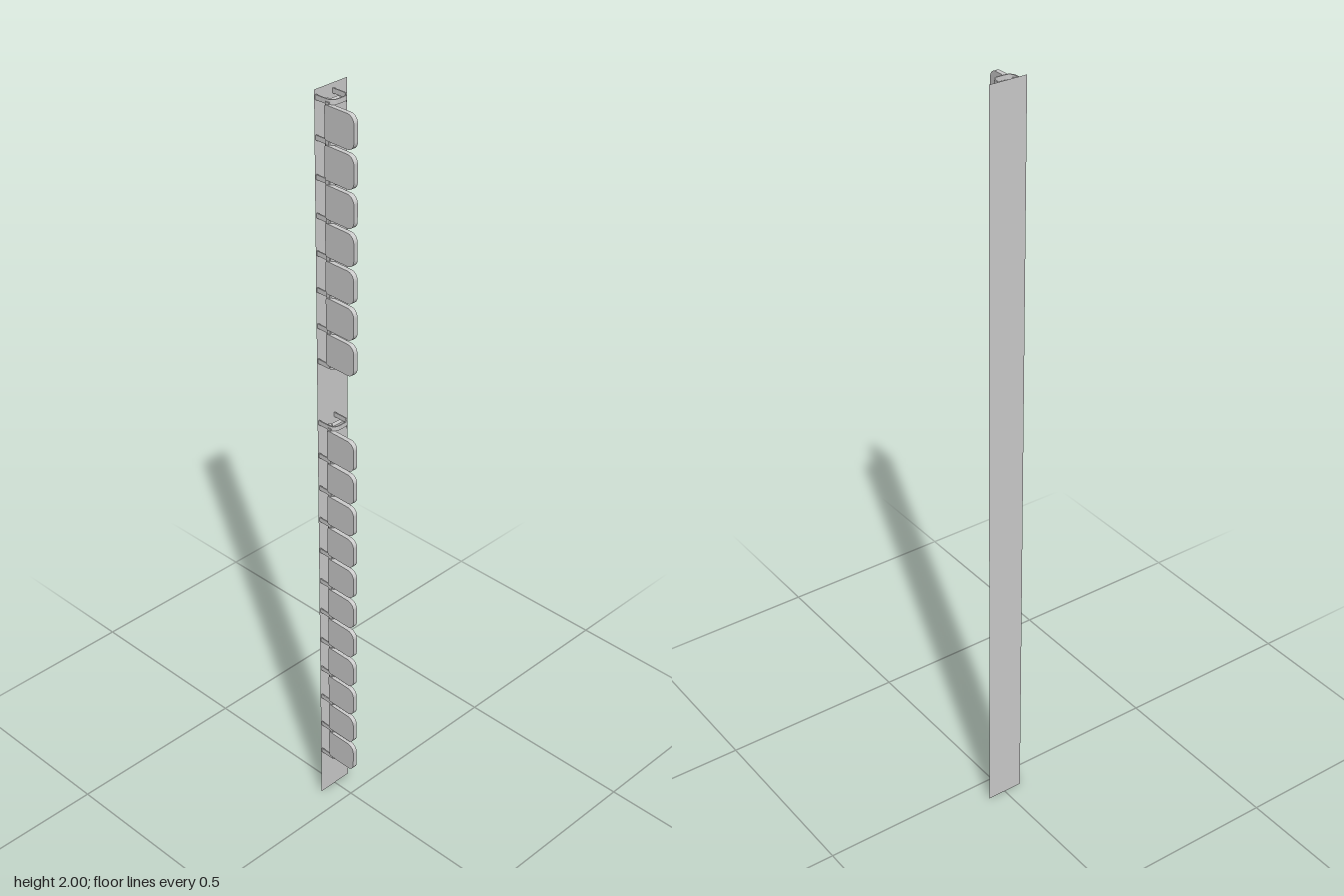
import * as THREE from 'three';

const grey = new THREE.MeshStandardMaterial({ color: 0xcccccc, side: THREE.DoubleSide });
const PITCH = 0.0928;

// Leaf outline: hinge edge at x = 0, rounded outer corners, thickness centred on z
function leafGeometry(width, height, thickness) {
  const h = height / 2, r = 0.02, s = 0.006;
  const shape = new THREE.Shape();
  shape.moveTo(s, -h);
  shape.lineTo(width - r, -h);
  shape.absarc(width - r, -h + r, r, -Math.PI / 2, 0);
  shape.lineTo(width, h - r);
  shape.absarc(width - r, h - r, r, 0, Math.PI / 2);
  shape.lineTo(s, h);
  shape.absarc(s, h - s, s, Math.PI / 2, Math.PI);
  shape.lineTo(0, -h + s);
  shape.absarc(s, -h + s, s, Math.PI, Math.PI * 1.5);
  const geo = new THREE.ExtrudeGeometry(shape, { depth: thickness, bevelEnabled: false, curveSegments: 6 });
  return geo.translate(0, 0, -thickness / 2);
}

// U-shaped flat strip, open towards the back plate
function clipGeometry() {
  const x0 = -0.047, x1 = 0.008, back = 0.061, front = -0.009, height = 0.012;
  const shape = new THREE.Shape();
  const trace = (a, b, f, r, reverse) => {
    // Shape y is -z, so the front of the clip is at the lower end
    const pts = [[a, back]];
    for (let i = 0; i <= 5; i++) {
      const t = Math.PI + (i / 5) * Math.PI / 2;
      pts.push([a + r + r * Math.cos(t), f + r + r * Math.sin(t)]);
    }
    for (let i = 0; i <= 5; i++) {
      const t = Math.PI * 1.5 + (i / 5) * Math.PI / 2;
      pts.push([b - r + r * Math.cos(t), f + r + r * Math.sin(t)]);
    }
    pts.push([b, back]);
    return reverse ? pts.reverse() : pts;
  };
  const w = 0.003;
  const outline = [
    ...trace(x0, x1, -front, 0.017, false),
    ...trace(x0 + w, x1 - w, -front + w, 0.014, true),
  ];
  shape.setFromPoints(outline.map(([x, y]) => new THREE.Vector2(x, y)));
  const geo = new THREE.ExtrudeGeometry(shape, { depth: height, bevelEnabled: false });
  return geo.rotateX(-Math.PI / 2).translate(0, -height / 2, 0);
}

export function createModel() {
  const group = new THREE.Group();
  const add = (name, geo, x, y, z, parent = group) => {
    const mesh = new THREE.Mesh(geo, grey);
    mesh.name = name;
    mesh.position.set(x, y, z);
    parent.add(mesh);
    return mesh;
  };

  // Tall thin back plate
  add('backPlate', new THREE.PlaneGeometry(0.1, 2), 0, 1, -0.061);

  const openGeo = leafGeometry(0.09, 0.082, 0.012);
  const flatGeo = leafGeometry(0.055, 0.082, 0.012);
  const clipGeo = clipGeometry();
  const pinGeo = new THREE.BoxGeometry(0.007, PITCH, 0.01);

  // Two banks of hinged leaves, held by clips above and below each leaf
  const banks = [
    { name: 'lowerBank', first: 0.191, count: 11 },
    { name: 'upperBank', first: 1.379, count: 7 },
  ];
  for (const { name, first, count } of banks) {
    const bank = new THREE.Group();
    bank.name = name;
    group.add(bank);
    for (let i = 0; i <= count; i++) {
      const y = first + i * PITCH;
      add('clip', clipGeo, 0, y - PITCH / 2, 0, bank);
      if (i === count) break;
      const leaf = add('openLeaf', openGeo, -0.0455, y, -0.029, bank);
      leaf.rotation.y = -Math.PI / 2 - 0.015;
      add('flatLeaf', flatGeo, -0.037, y, -0.036, bank);
      // Hinge pins running through the clips
      add('openLeafPin', pinGeo, -0.0455, y, -0.024, bank);
      add('flatLeafPin', pinGeo, -0.0335, y, -0.036, bank);
    }
  }
  return group;
}
